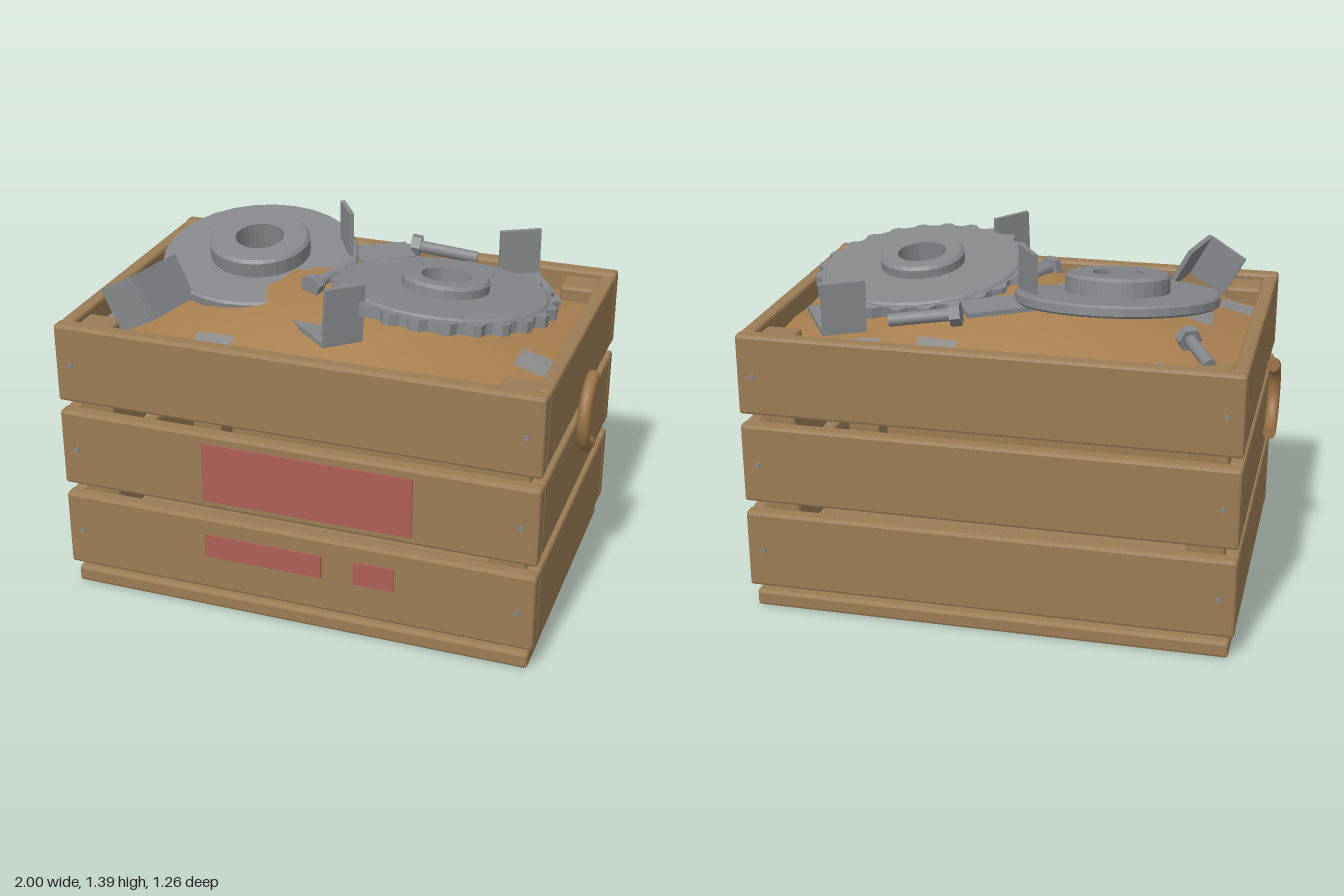
import * as THREE from 'three';
import { RoundedBoxGeometry } from 'three/addons/geometries/RoundedBoxGeometry.js';

const mat = (name, color, extra = {}) => new THREE.MeshStandardMaterial({ name, color, ...extra });

export function createModel() {
  const wood = mat('wood', 0x9b7c55);
  const dirt = mat('rustyFill', 0xa67e4e, { side: THREE.DoubleSide });
  const fillMetal = mat('scrapPatch', 0x8b8b89, { side: THREE.DoubleSide });
  const handleMat = mat('handleWood', 0x9a7247);
  const metal = mat('metal', 0x85878a);
  const red = mat('redPaint', 0xad5f56);

  const root = new THREE.Group();
  root.name = 'scrapCrate';
  const add = (name, geo, material, x = 0, y = 0, z = 0, parent = root) => {
    const m = new THREE.Mesh(geo, material);
    m.name = name;
    m.position.set(x, y, z);
    parent.add(m);
    return m;
  };
  const group = (name, x, y, z) => {
    const g = new THREE.Group();
    g.name = name;
    g.position.set(x, y, z);
    root.add(g);
    return g;
  };
  const flat = (geo) => {
    const g = geo.index ? geo.toNonIndexed() : geo;
    g.computeVertexNormals();
    return g;
  };
  const board = (w, h, d) => flat(new RoundedBoxGeometry(w, h, d, 1, 0.012));

  // Crate: base, corner posts, slats and nails
  add('base', board(1.83, 0.065, 1.21), wood, 0, 0.0375, 0);
  for (const sx of [-1, 1]) {
    for (const sz of [-1, 1]) {
      add('cornerPost', board(0.14, 1.03, 0.13), wood, sx * 0.81, 0.585, sz * 0.492);
    }
  }
  for (const y of [0.255, 0.612, 0.967]) {
    for (const s of [-1, 1]) {
      add('longSlat', board(1.87, 0.312, 0.062), wood, 0, y, s * 0.59);
      add('sideSlat', board(0.055, 0.305, 1.115), wood, s * 0.907, y, 0);
      for (const sx of [-1, 1]) {
        const nail = new THREE.CylinderGeometry(0.01, 0.01, 0.016, 8).rotateX(Math.PI / 2);
        add('nail', nail, metal, sx * 0.872, y, s * 0.623);
      }
    }
  }

  // Painted panels on the front
  for (const [x0, x1, y0, y1] of [[-0.35, 0.47, 0.49, 0.73], [-0.35, 0.12, 0.245, 0.34], [0.245, 0.405, 0.245, 0.34]]) {
    add('paintedPanel', new THREE.BoxGeometry(x1 - x0, y1 - y0, 0.008), red, (x0 + x1) / 2, (y0 + y1) / 2, 0.624);
  }

  // Half-ring handles with capped ends
  for (const s of [-1, 1]) {
    const h = group('handle', s * 0.975, 0.8, 0);
    const ring = new THREE.TorusGeometry(0.138, 0.025, 10, 20, Math.PI).rotateZ(-Math.PI / 2).rotateY(-Math.PI / 2);
    add('handleRing', ring, handleMat, 0, 0, 0, h);
    for (const sy of [-1, 1]) {
      add('handleEnd', new THREE.CircleGeometry(0.025, 10).rotateY(Math.PI), handleMat, 0, sy * 0.138, 0, h);
    }
  }

  // Mounded fill, with a few metal-coloured cells
  const cols = 12, rows = 8;
  const mound = new THREE.PlaneGeometry(1.76, 1.11, cols, rows).rotateX(-Math.PI / 2);
  const p = mound.attributes.position;
  for (let i = 0; i < p.count; i++) {
    const x = p.getX(i), z = p.getZ(i);
    const ripple = 0.008 * Math.sin(x * 17 + z * 9) * Math.cos(z * 13 - x * 5);
    p.setY(i, 1.03 + 0.19 * Math.cos(x * 1.78) * Math.cos(z * 2.83) + ripple);
  }
  mound.computeVertexNormals();
  const patches = new Set(['1,0', '7,0', '9,0', '4,3', '1,4', '11,5', '0,6', '3,7']);
  for (let r = 0; r < rows; r++) {
    for (let c = 0; c < cols; c++) {
      mound.addGroup((r * cols + c) * 6, 6, patches.has(`${c},${r}`) ? 1 : 0);
    }
  }
  add('fillMound', mound, [dirt, fillMetal]);

  // Flanged wheel: disc, raised hub and bore in one turned profile
  const wheel = (R, t, hub, top, bore) => flat(new THREE.LatheGeometry([
    [bore, 0], [R - 0.008, 0], [R, 0.008], [R, t - 0.008], [R - 0.008, t], [hub, t],
    [hub, top - 0.012], [hub - 0.012, top], [bore, top], [bore, 0],
  ].map(([x, y]) => new THREE.Vector2(x, y)), 28));

  const disc = add('flangedDisc', wheel(0.385, 0.045, 0.197, 0.115, 0.095), metal, -0.39, 1.178, -0.098);
  disc.rotation.set(0.165, 0, -0.02);

  const gear = group('gear', 0.405, 1.183, 0.055);
  gear.rotation.set(-0.12, 0, -0.05);
  add('gearDisc', wheel(0.39, 0.055, 0.165, 0.1, 0.095), metal, 0, 0, 0, gear);
  const teeth = new THREE.Shape();
  const n = 24;
  for (let i = 0; i < n * 4; i++) {
    const a = (i / (n * 4)) * Math.PI * 2;
    const r = i % 4 < 2 ? 0.425 : 0.4;
    teeth[i ? 'lineTo' : 'moveTo'](r * Math.cos(a), r * Math.sin(a));
  }
  teeth.holes.push(new THREE.Path().absarc(0, 0, 0.33, 0, Math.PI * 2, true));
  const toothGeo = new THREE.ExtrudeGeometry(teeth, { depth: 0.042, bevelEnabled: false }).rotateX(-Math.PI / 2);
  add('gearTeeth', toothGeo, metal, 0, 0.003, 0, gear);

  // Angle brackets: hinge position, yaw, roll, width, flap height, plate length
  for (const [x, y, z, yaw, roll, w, h, len] of [
    [-0.075, 1.195, -0.22, 2.14, 0, 0.16, 0.205, 0.26],
    [0.135, 1.13, 0.43, -2.31, 0.05, 0.16, 0.215, 0.27],
    [0.565, 1.11, -0.46, 0.52, 0, 0.165, 0.19, 0.31],
    [-0.625, 1.217, 0.48, 2.94, -2.07, 0.18, 0.17, 0.25],
  ]) {
    const b = group('angleBracket', x, y, z);
    b.rotation.set(0, yaw, roll, 'YXZ');
    add('bracketFlap', new THREE.BoxGeometry(w, h, 0.018), metal, 0, h / 2, 0, b);
    add('bracketPlate', new THREE.BoxGeometry(w, 0.018, len), metal, 0, 0, len / 2, b);
  }

  // Hex bolts from head to tip
  const up = new THREE.Vector3(0, 1, 0);
  for (const [head, tip] of [
    [[0.13, 1.2, -0.415], [0.395, 1.165, -0.45]],
    [[-0.085, 1.215, 0.175], [0, 1.225, -0.08]],
    [[-0.68, 1.14, -0.3], [-0.79, 1.1, -0.485]],
  ]) {
    const a = new THREE.Vector3(...head), dir = new THREE.Vector3(...tip).sub(a);
    const len = dir.length();
    const bolt = group('bolt', ...head);
    bolt.quaternion.setFromUnitVectors(up, dir.normalize());
    add('boltHead', flat(new THREE.CylinderGeometry(0.046, 0.046, 0.04, 6)), metal, 0, 0.02, 0, bolt);
    add('boltShaft', new THREE.CylinderGeometry(0.024, 0.024, len - 0.03, 10), metal, 0, len / 2 + 0.015, 0, bolt);
  }
  return root;
}
